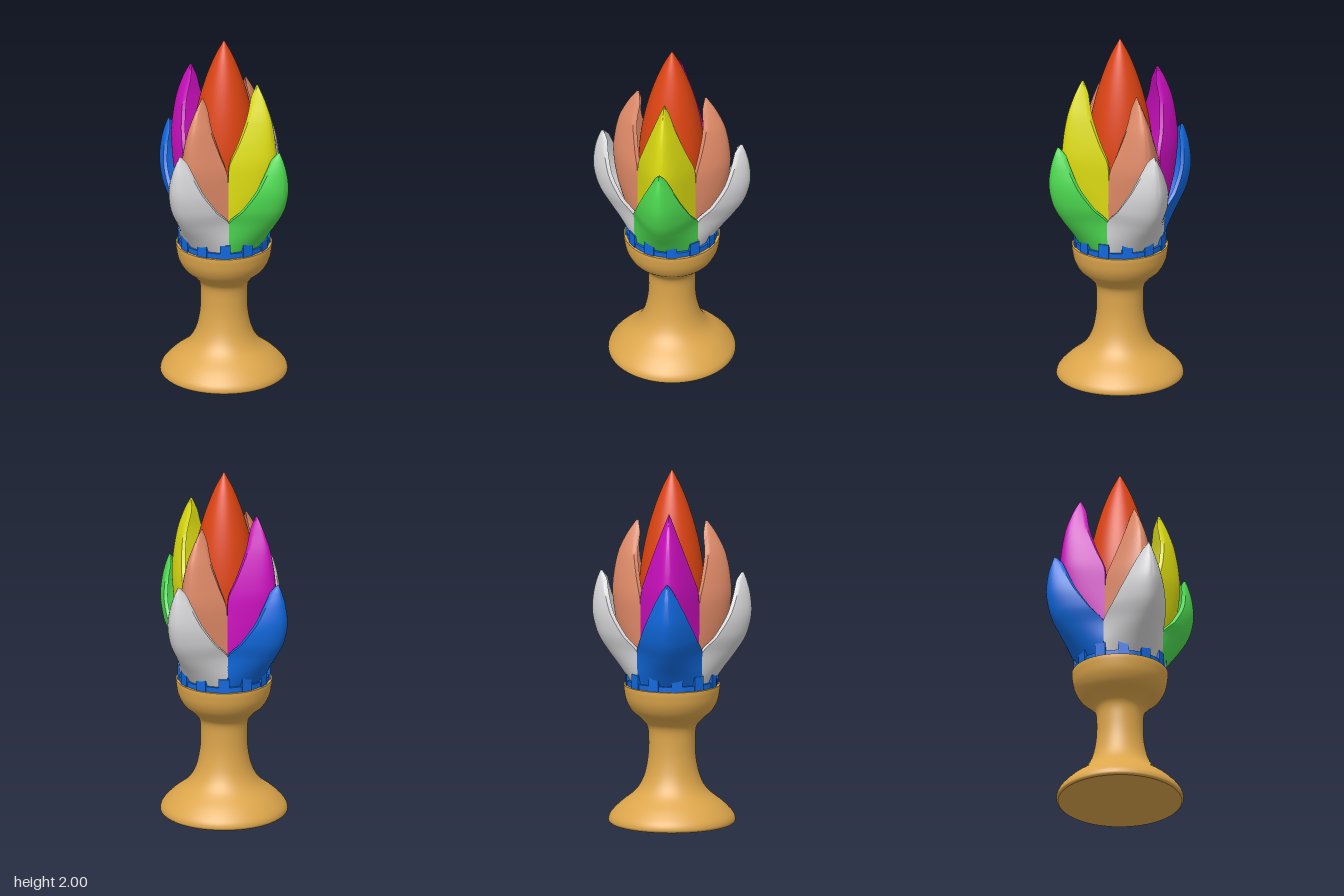
import * as THREE from 'three';
import { toCreasedNormals } from 'three/addons/utils/BufferGeometryUtils.js';

const mat = (name, color) => new THREE.MeshStandardMaterial({ name, color });

// Smooth curve through [radius, y] points, turned around the y axis
function lathe(points, steps) {
  const curve = new THREE.SplineCurve(points.map(([r, y]) => new THREE.Vector2(r, y)));
  const profile = curve.getPoints(steps);
  profile.forEach(p => { p.x = Math.max(p.x, 0); });
  return new THREE.LatheGeometry(profile, 64);
}

// Curved petal shell facing +z. Each row: [y, half width, rim depth, ridge depth]
function petalGeometry(rows, thickness) {
  const size = new THREE.CatmullRomCurve3(rows.map(r => new THREE.Vector3(r[1], r[2], r[3])));
  const height = new THREE.CatmullRomCurve3(rows.map(r => new THREE.Vector3(0, r[0], 0)));
  const N = 40, M = 24, loop = 2 * (M + 1);
  const pos = [], index = [];
  for (let i = 0; i <= N; i++) {
    const { x: w, y: rim, z: ridge } = size.getPoint(i / N);
    const y = height.getPoint(i / N).y;
    const t = thickness * Math.min(1, 0.4 + (1 - i / N) * 4);
    for (let k = 0; k < loop; k++) {
      const inner = k > M;
      const s = inner ? 1 - 2 * (k - M - 1) / M : -1 + 2 * k / M;
      const x = Math.max(w, 0) * s;
      const z = rim + (ridge - rim) * (1 - Math.abs(s) ** 1.8);
      const f = inner ? 1 - t / Math.hypot(x, z) : 1;
      pos.push(x * f, y, z * f);
    }
  }
  for (let i = 0; i < N; i++) {
    for (let k = 0; k < loop; k++) {
      const a = i * loop + k, b = i * loop + (k + 1) % loop;
      index.push(a, b, b + loop, a, b + loop, a + loop);
    }
  }
  const g = new THREE.BufferGeometry();
  g.setAttribute('position', new THREE.Float32BufferAttribute(pos, 3));
  g.setIndex(index);
  return toCreasedNormals(g, 0.7);
}

export function createModel() {
  const model = new THREE.Group();
  const wood = mat('ochre', 0xdda64b), red = mat('orange red', 0xdd4411);
  const blue = mat('blue', 0x1068dd), magenta = mat('magenta', 0xcc0fbf);
  const yellow = mat('yellow', 0xdddd11), green = mat('green', 0x4cd950);
  const salmon = mat('salmon', 0xdd8866), grey = mat('pale grey', 0xd4d4d6);

  const add = (name, geometry, material, parent = model) => {
    const mesh = new THREE.Mesh(geometry, material);
    mesh.name = name;
    parent.add(mesh);
    return mesh;
  };

  // Turned stand: flared foot, narrow stem and cup
  add('stand', lathe([
    [0.345, 0], [0.355, 0.015], [0.342, 0.05], [0.29, 0.105], [0.205, 0.175], [0.16, 0.25],
    [0.136, 0.35], [0.13, 0.45], [0.137, 0.54], [0.175, 0.59], [0.225, 0.635],
    [0.255, 0.69], [0.267, 0.75], [0.268, 0.78],
  ], 80), wood);
  const footBottom = add('footBottom', new THREE.CircleGeometry(0.345, 64), wood);
  footBottom.rotation.x = Math.PI / 2;
  const cupTop = add('cupTop', new THREE.CircleGeometry(0.268, 64), wood);
  cupTop.rotation.x = -Math.PI / 2;
  cupTop.position.y = 0.78;

  // Notched collar that holds the petals
  const collar = new THREE.Group();
  collar.name = 'collar';
  model.add(collar);
  add('collarBand', new THREE.CylinderGeometry(0.253, 0.253, 0.03, 64), blue, collar).position.y = 0.795;
  const toothShape = new THREE.BoxGeometry(0.06, 0.08, 0.03);
  for (let i = 0; i < 12; i++) {
    const a = 0.18 + i * Math.PI / 6;
    const tooth = add('collarTooth', toothShape, blue, collar);
    tooth.position.set(Math.sin(a) * 0.243, 0.82, Math.cos(a) * 0.243);
    tooth.rotation.y = a;
  }

  // Central pointed bud
  add('bud', lathe([
    [0.13, 0.79], [0.155, 0.95], [0.175, 1.15], [0.183, 1.32], [0.174, 1.45],
    [0.148, 1.6], [0.108, 1.75], [0.056, 1.89], [0, 2],
  ], 60), red);

  // Petals: low outer tier, and two heights of inner petal
  const outer = petalGeometry([
    [0.785, 0.165, 0.172, 0.225], [0.88, 0.18, 0.18, 0.29], [0.99, 0.184, 0.181, 0.37],
    [1.08, 0.16, 0.265, 0.42], [1.2, 0.116, 0.338, 0.445], [1.31, 0.067, 0.37, 0.435],
    [1.38, 0.029, 0.383, 0.416], [1.42, 0, 0.397, 0.4],
  ], 0.022);
  const innerTall = petalGeometry([
    [0.8, 0.15, 0.15, 0.19], [1.0, 0.163, 0.163, 0.29], [1.17, 0.165, 0.164, 0.34],
    [1.32, 0.162, 0.166, 0.36], [1.45, 0.125, 0.205, 0.356], [1.6, 0.073, 0.235, 0.33],
    [1.72, 0.028, 0.236, 0.284], [1.79, 0, 0.24, 0.243],
  ], 0.022);
  const innerShort = petalGeometry([
    [0.8, 0.15, 0.15, 0.19], [0.98, 0.163, 0.163, 0.265], [1.13, 0.165, 0.164, 0.31],
    [1.27, 0.16, 0.166, 0.33], [1.4, 0.118, 0.19, 0.326], [1.53, 0.072, 0.207, 0.3],
    [1.64, 0.03, 0.198, 0.247], [1.71, 0, 0.195, 0.198],
  ], 0.022);

  const sides = [
    ['front', 0, grey, salmon, innerShort],
    ['left', Math.PI / 2, green, yellow, innerTall],
    ['back', Math.PI, grey, salmon, innerShort],
    ['right', -Math.PI / 2, blue, magenta, innerTall],
  ];
  for (const [side, angle, outerColor, innerColor, innerShape] of sides) {
    add(side + 'OuterPetal', outer, outerColor).rotation.y = angle;
    add(side + 'InnerPetal', innerShape, innerColor).rotation.y = angle;
  }
  return model;
}
